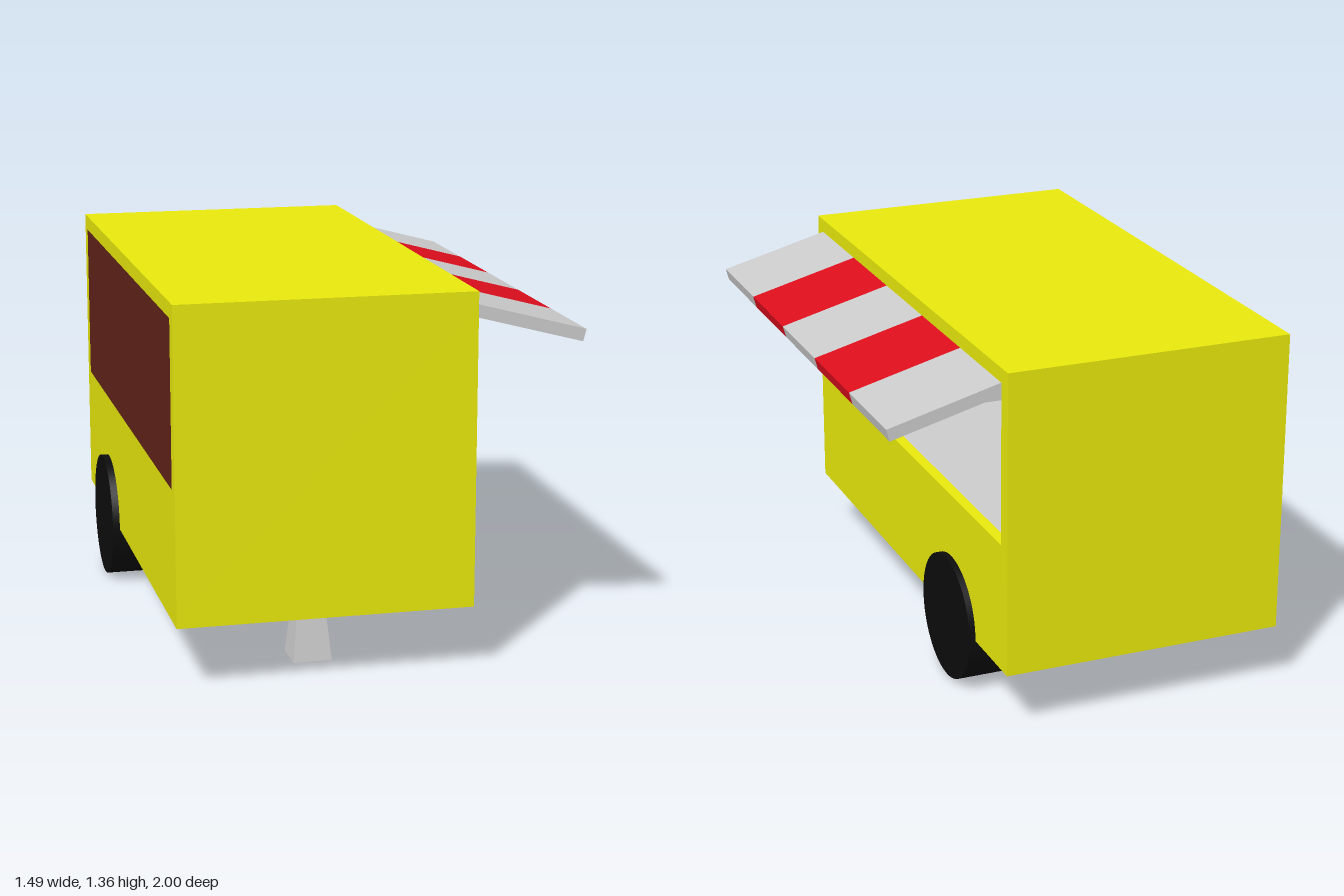
import * as THREE from 'three';

const YELLOW = 0xe8e80c, RED = 0xdd0e1c, BROWN = 0x5f2219, BLACK = 0x0c0c0c, GREY = 0xcccccc, NAVY = 0x0a0c2c;

// Body limits, wall thickness and serving window
const X0 = -0.72, X1 = 0.335, Y0 = 0.235, Y1 = 1.355, T = 0.04;
const CX = (X0 + X1) / 2, WIN_Z = 0.943, WIN_Y0 = 0.71, WIN_Y1 = 1.3, FLOOR = 0.48;

export function createModel() {
  const model = new THREE.Group();

  const add = (name, geometry, color, parent = model) => {
    const mesh = new THREE.Mesh(geometry, new THREE.MeshStandardMaterial({ color }));
    mesh.name = name;
    parent.add(mesh);
    return mesh;
  };
  // Box given by its lower and upper corners
  const box = (name, a, b, color, parent) => {
    const mesh = add(name, new THREE.BoxGeometry(b[0] - a[0], b[1] - a[1], b[2] - a[2]), color, parent);
    mesh.position.set((a[0] + b[0]) / 2, (a[1] + b[1]) / 2, (a[2] + b[2]) / 2);
    return mesh;
  };

  // Hollow body: roof, end walls and bottom
  const body = new THREE.Group();
  body.name = 'body';
  model.add(body);
  box('roof', [X0, Y1 - T, -1], [X1, Y1, 1], YELLOW, body);
  box('chassisBase', [X0, Y0, -1], [X1, Y0 + T, 1], YELLOW, body);
  box('frontWall', [X0, Y0 + T, 1 - T], [X1, Y1 - T, 1], YELLOW, body);
  box('backWall', [X0, Y0 + T, -1], [X1, Y1 - T, -1 + T], YELLOW, body);
  box('floor', [X0 + T, FLOOR - 0.02, -1 + T], [X1 - T, FLOOR, 1 - T], GREY, body);

  // Side walls, each with a long window opening
  const rect = (Type, z, y0, y1) => {
    const p = new Type();
    p.moveTo(-z, y0);
    p.lineTo(z, y0);
    p.lineTo(z, y1);
    p.lineTo(-z, y1);
    p.closePath();
    return p;
  };
  const wallShape = rect(THREE.Shape, 1 - T, Y0 + T, Y1 - T);
  wallShape.holes.push(rect(THREE.Path, WIN_Z, WIN_Y0, WIN_Y1));
  const wallGeometry = new THREE.ExtrudeGeometry(wallShape, { depth: T, bevelEnabled: false });
  wallGeometry.rotateY(Math.PI / 2);
  add('servingSideWall', wallGeometry, YELLOW, body).position.x = X1 - T;
  add('closedSideWall', wallGeometry, YELLOW, body).position.x = X0;

  // Closed shutter filling the opening on the far side
  box('shutter', [X0, WIN_Y0, -WIN_Z], [X0 + T, WIN_Y1, WIN_Z], BROWN);

  // Inner door with a small dark pane, against the front wall
  box('door', [-0.45, FLOOR, 0.92], [0.06, 1.26, 1 - T], GREY);
  box('doorPane', [-0.3, 0.93, 0.915], [-0.085, 1.16, 0.92], NAVY);

  // Sloping striped awning, hinged above the serving window
  const awning = new THREE.Group();
  awning.name = 'awning';
  awning.position.set(X1, 1.303, 0);
  awning.rotation.z = -0.26;
  model.add(awning);
  const stripe = 2 * WIN_Z / 5;
  for (let i = 0; i < 5; i++) {
    const z = -WIN_Z + i * stripe;
    box('awningStripe', [0, -0.045, z], [0.423, 0, z + stripe], i % 2 ? RED : GREY, awning);
  }

  // Wide wheels
  const wheelGeometry = new THREE.CylinderGeometry(0.235, 0.235, 0.467, 64);
  wheelGeometry.rotateZ(Math.PI / 2);
  for (const side of [-1, 1]) {
    const wheel = add(side < 0 ? 'rightWheel' : 'leftWheel', wheelGeometry, BLACK);
    wheel.position.set(CX - 0.002 + side * 0.319, 0.235, -0.47);
  }

  // Tapered square support leg
  const legGeometry = new THREE.CylinderGeometry(0.046 * Math.SQRT2, 0.07 * Math.SQRT2, Y0, 4).toNonIndexed();
  legGeometry.rotateY(Math.PI / 4);
  legGeometry.computeVertexNormals();
  add('supportLeg', legGeometry, GREY).position.set(CX, Y0 / 2, 0.71);

  return model;
}
